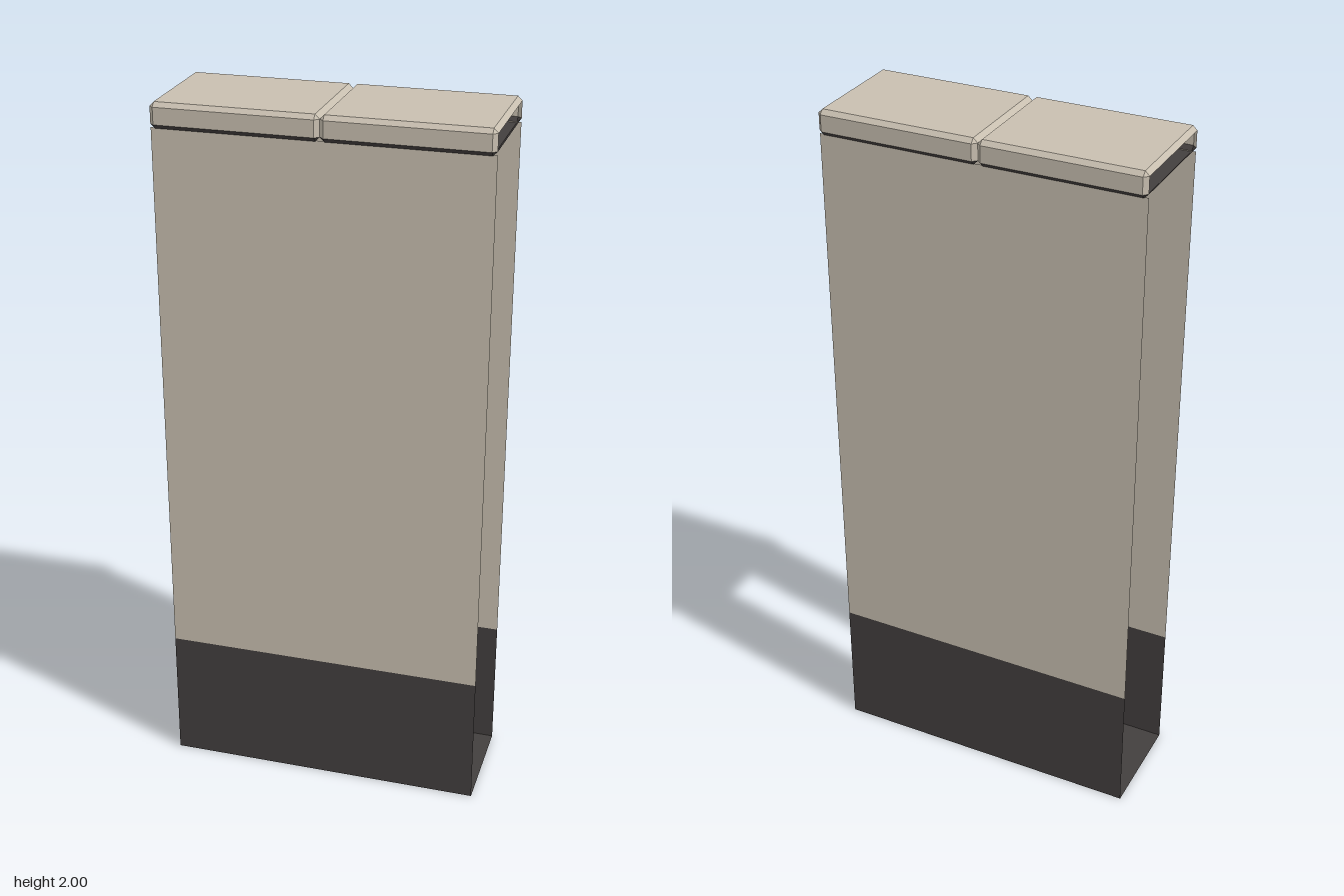
import * as THREE from 'three';

const stone = new THREE.MeshStandardMaterial({ color: 0xc8bfb0, side: THREE.DoubleSide });
stone.name = 'paleStone';
const dark = new THREE.MeshStandardMaterial({ color: 0x433f3e, side: THREE.DoubleSide });
dark.name = 'darkBase';

const HALF_W = 0.453, HALF_D = 0.155, BASE_TOP = 0.385, WALL_TOP = 1.932;

function plane(name, w, h, material, position, rotation) {
  const mesh = new THREE.Mesh(new THREE.PlaneGeometry(w, h), material);
  mesh.name = name;
  mesh.position.set(...position);
  mesh.rotation.set(...rotation);
  return mesh;
}

function flatMesh(name, positions, material) {
  const geometry = new THREE.BufferGeometry();
  geometry.setAttribute('position', new THREE.Float32BufferAttribute(positions, 3));
  geometry.computeVertexNormals();
  const mesh = new THREE.Mesh(geometry, material);
  mesh.name = name;
  return mesh;
}

// Chamfered coping slab, open at its +x end, with a dark underside
function createCap(name, hw, hd, y0, y1, c) {
  const outline = [
    [hw, c - hd], [hw, hd - c], [hw - c, hd], [c - hw, hd],
    [-hw, hd - c], [-hw, c - hd], [c - hw, -hd], [hw - c, -hd],
  ];
  const inset = outline.map(([x, z]) => [Math.sign(x) * (hw - c), Math.sign(z) * (hd - c)]);
  const ring = (pts, y) => pts.map(([x, z]) => new THREE.Vector3(x, y, z));
  const rings = [ring(inset, y0), ring(outline, y0 + c), ring(outline, y1 - c), ring(inset, y1)];
  const upper = [], lower = [];
  const tri = (out, a, b, d) => {
    if (new THREE.Triangle(a, b, d).getArea() > 1e-9) {
      for (const p of [a, b, d]) out.push(p.x, p.y, p.z);
    }
  };
  for (let r = 0; r < 3; r++) {
    for (let i = 0; i < 8; i++) {
      if (r === 1 && i === 0) continue; // open end
      const j = (i + 1) % 8, out = r === 0 ? lower : upper;
      tri(out, rings[r][i], rings[r + 1][i], rings[r + 1][j]);
      tri(out, rings[r][i], rings[r + 1][j], rings[r][j]);
    }
  }
  // Top and underside
  for (let i = 1; i < 7; i++) {
    tri(upper, rings[3][0], rings[3][i + 1], rings[3][i]);
    tri(lower, rings[0][0], rings[0][i], rings[0][i + 1]);
  }
  const cap = new THREE.Group();
  cap.name = name;
  cap.add(flatMesh('capStone', upper, stone), flatMesh('capUnderside', lower, dark));
  return cap;
}

export function createModel() {
  const group = new THREE.Group();
  group.name = 'wallSegment';

  // Front and back wall faces with their dark plinth bands
  for (const [side, s] of [['front', 1], ['back', -1]]) {
    const turn = [0, s > 0 ? 0 : Math.PI, 0];
    group.add(
      plane(side + 'Wall', HALF_W * 2, WALL_TOP - BASE_TOP, stone,
        [0, (WALL_TOP + BASE_TOP) / 2, s * HALF_D], turn),
      plane(side + 'Plinth', HALF_W * 2, BASE_TOP, dark, [0, BASE_TOP / 2, s * HALF_D], turn),
    );
  }

  // Bottom face
  group.add(plane('bottom', HALF_W * 2, HALF_D * 2, dark, [0, 0, 0], [Math.PI / 2, 0, 0]));

  // Two coping slabs meeting in the middle
  for (const [side, s] of [['left', 1], ['right', -1]]) {
    const cap = createCap(side + 'Cap', HALF_W / 2, 0.168, 1.93, 2, 0.012);
    cap.position.x = s * HALF_W / 2;
    cap.rotation.y = s > 0 ? 0 : Math.PI;
    group.add(cap);
  }
  return group;
}
